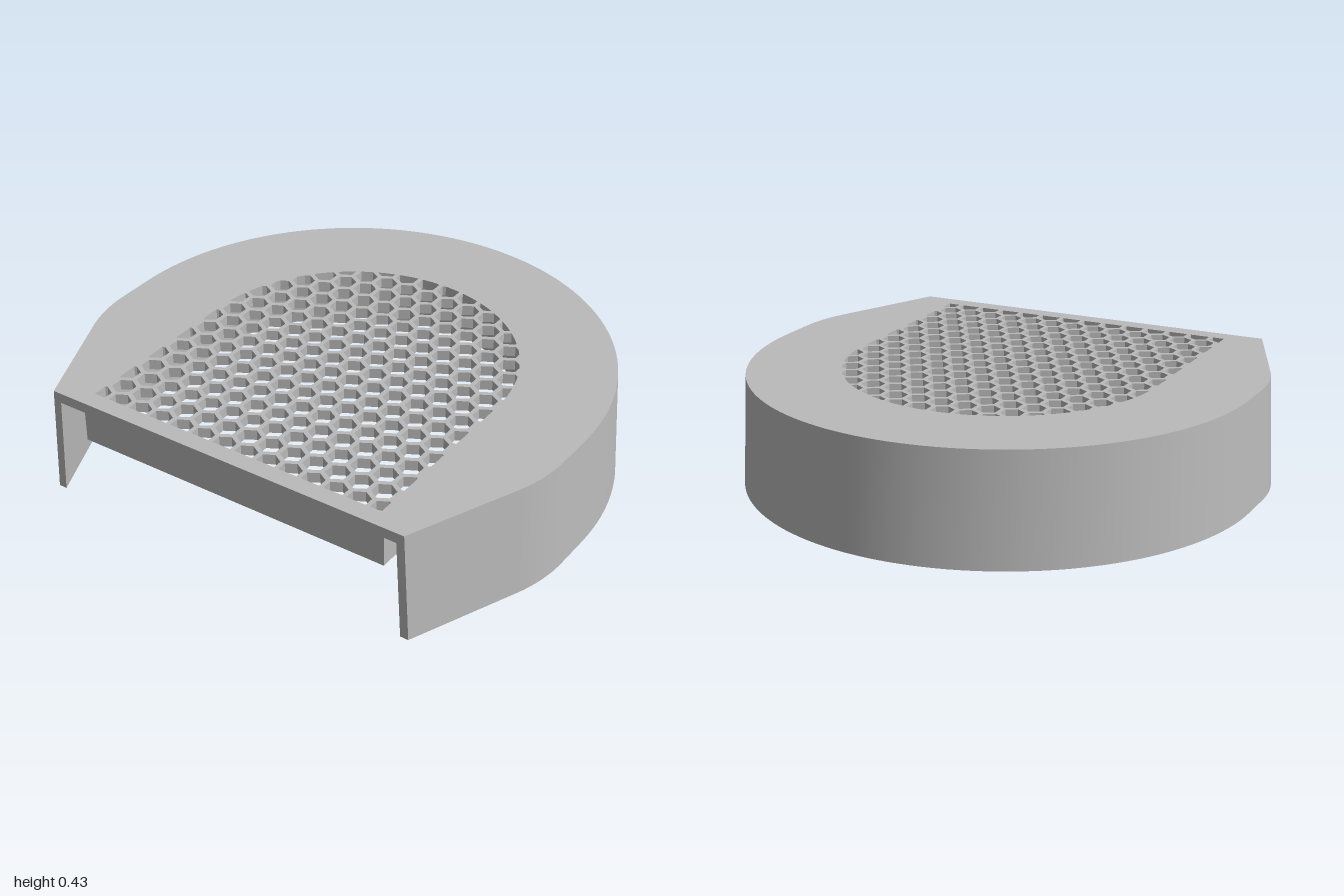
import * as THREE from 'three';
import { toCreasedNormals } from 'three/addons/utils/BufferGeometryUtils.js';

const TOP = 0.43, PLATE = 0.39, RIM = 0.235, FRONT = 0.9;

// Outer outline as [x, z], moved inwards by an offset; runs from the left front round the back
function outline(offset) {
  const bend = 0.4, r = 0.6 - offset, half = [];
  const ex = 0.4 + r * Math.cos(bend), ez = 0.25 + r * Math.sin(bend);
  half.push([ex - (FRONT - ez) * Math.tan(bend), FRONT]);
  for (let i = 8; i >= 0; i--) {
    const a = bend * i / 8;
    half.push([0.4 + r * Math.cos(a), 0.25 + r * Math.sin(a)]);
  }
  const arc = [];
  for (let i = 0; i <= 72; i++) {
    const a = Math.PI * i / 72;
    arc.push([(1 - offset) * Math.cos(a), 0.1 - (1 - offset) * Math.sin(a)]);
  }
  return [...half, ...arc, ...half.map(([x, z]) => [-x, z]).reverse()];
}

// Arched outline of the grille and its rim
function arch(r, front) {
  const pts = [[r, front]];
  for (let i = 0; i <= 48; i++) {
    const a = Math.PI * i / 48;
    pts.push([r * Math.cos(a), 0.1 - r * Math.sin(a)]);
  }
  pts.push([-r, front]);
  return pts;
}

// Cut a polygon to the inside of a convex outline
function clip(poly, border) {
  let out = poly;
  border.forEach((a, i) => {
    const b = border[(i + 1) % border.length];
    const side = p => (b[1] - a[1]) * (p[0] - a[0]) - (b[0] - a[0]) * (p[1] - a[1]);
    const next = [];
    out.forEach((p, k) => {
      const q = out[(k + 1) % out.length], sp = side(p), sq = side(q);
      if (sp >= 0) next.push(p);
      if ((sp >= 0) !== (sq >= 0)) {
        const t = sp / (sp - sq);
        next.push([p[0] + t * (q[0] - p[0]), p[1] + t * (q[1] - p[1])]);
      }
    });
    out = next;
  });
  return out;
}

const vectors = pts => pts.map(([x, z]) => new THREE.Vector2(x, -z));

// Upright slab with holes between two heights
function slab(pts, holes, y0, y1) {
  const shape = new THREE.Shape(vectors(pts));
  holes.forEach(h => shape.holes.push(new THREE.Path(vectors(h))));
  const geo = new THREE.ExtrudeGeometry(shape, { depth: y1 - y0, bevelEnabled: false });
  geo.rotateX(-Math.PI / 2).translate(0, y0, 0);
  return toCreasedNormals(geo, 0.3);
}

// Honeycomb openings, trimmed to the arch
function honeycomb(border) {
  const pitch = 0.0942, row = pitch * Math.sqrt(3) / 2, r = 0.0442, cells = [];
  for (let k = -8; k <= 10; k++) {
    for (let c = -8; c <= 8; c++) {
      const cx = (c + (k % 2 ? 0.5 : 0)) * pitch, cz = 0.08 + k * row;
      const hex = [];
      for (let i = 0; i < 6; i++) {
        const a = Math.PI / 6 + i * Math.PI / 3;
        hex.push([cx + r * Math.cos(a), cz + r * Math.sin(a)]);
      }
      const cell = clip(hex, border);
      if (cell.length > 2 && Math.abs(THREE.ShapeUtils.area(vectors(cell))) > 1e-5) cells.push(cell);
    }
  }
  return cells;
}

// Leaning wall, open at the front
function wallGeometry() {
  const rings = [[0, 0], [0.02, TOP], [0.048, PLATE], [0.03, 0]]
    .map(([offset, y]) => outline(offset).map(([x, z]) => [x, y, z]));
  const pos = [], quad = (a, b, c, d) => pos.push(...a, ...b, ...c, ...a, ...c, ...d);
  const last = rings[0].length - 1;
  for (const [j, k] of [[0, 1], [2, 3], [3, 0]]) {
    for (let i = 0; i < last; i++) quad(rings[j][i], rings[j][i + 1], rings[k][i + 1], rings[k][i]);
  }
  quad(...rings.map(r => r[0]));
  quad(...rings.map(r => r[last]).reverse());
  const geo = new THREE.BufferGeometry();
  geo.setAttribute('position', new THREE.Float32BufferAttribute(pos, 3));
  return toCreasedNormals(geo, 0.3);
}

export function createModel() {
  const group = new THREE.Group();
  const grey = new THREE.MeshStandardMaterial({ color: 0xbababa });
  grey.name = 'grey';
  const add = (name, geo) => {
    const mesh = new THREE.Mesh(geo, grey);
    mesh.name = name;
    group.add(mesh);
  };
  const opening = arch(0.62, 0.83);
  add('outerWall', wallGeometry());
  add('topPlateWithGrille', slab(outline(0.02), honeycomb(opening), PLATE, TOP));
  add('grilleRim', slab(arch(0.65, 0.86), [opening], RIM, PLATE));
  return group;
}
